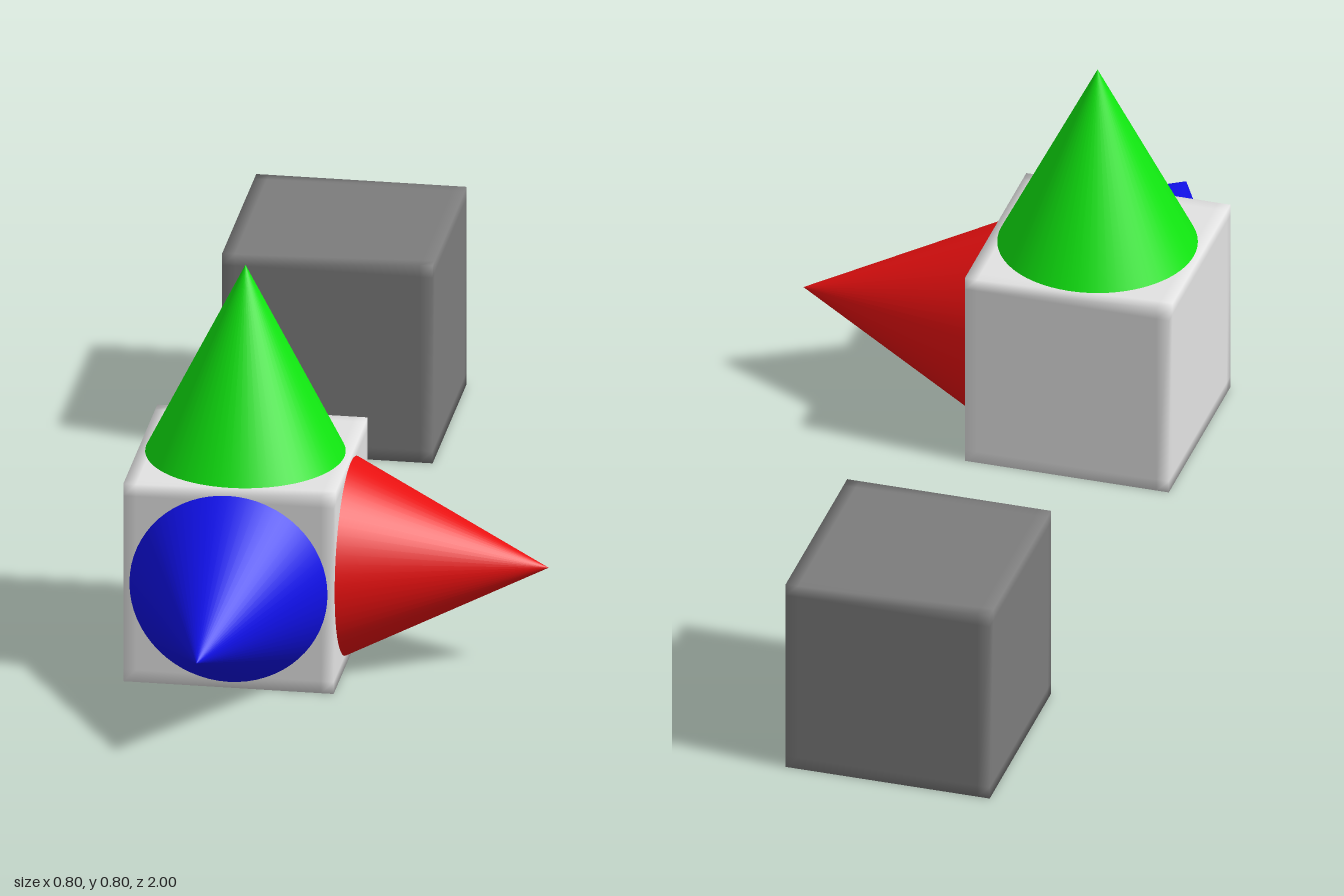
import * as THREE from 'three';
import { mergeVertices } from 'three/addons/utils/BufferGeometryUtils.js';

const SIZE = 0.412;      // cube edge
const HALF = SIZE / 2;
const EDGE = 0.025;      // width of the softly shaded border on each cube face

function material(name, color) {
  const m = new THREE.MeshStandardMaterial({ color });
  m.name = name;
  return m;
}

// Square-cornered cube with edge loops near its borders and shared, smooth normals
function softCubeGeometry() {
  const box = new THREE.BoxGeometry(SIZE, SIZE, SIZE, 3, 3, 3);
  box.deleteAttribute('normal');
  box.deleteAttribute('uv');
  const geo = mergeVertices(box);
  const p = geo.attributes.position;
  const slide = (v) => (Math.abs(v) < HALF * 0.9 ? Math.sign(v) * (HALF - EDGE) : v);
  for (let i = 0; i < p.count; i++) {
    p.setXYZ(i, slide(p.getX(i)), slide(p.getY(i)), slide(p.getZ(i)));
  }
  geo.computeVertexNormals();
  return geo;
}

export function createModel() {
  const model = new THREE.Group();
  model.name = 'cubesWithAxisCones';

  const cubeGeo = softCubeGeometry();
  const coneGeo = new THREE.ConeGeometry(0.2, 0.4, 64);
  coneGeo.translate(0, 0.394, 0); // base sits just inside the cube face

  function add(parent, name, geo, mat) {
    const mesh = new THREE.Mesh(geo, mat);
    mesh.name = name;
    parent.add(mesh);
    return mesh;
  }

  // Light cube with a cone on its top, left and front faces
  const marker = new THREE.Group();
  marker.name = 'axisMarker';
  marker.position.set(-0.194, HALF, 0.406);
  model.add(marker);
  add(marker, 'lightCube', cubeGeo, material('light grey', 0xe2e2e2));
  add(marker, 'upCone', coneGeo, material('green', 0x10e710));
  add(marker, 'sideCone', coneGeo, material('red', 0xe71010)).rotation.z = -Math.PI / 2;
  add(marker, 'frontCone', coneGeo, material('blue', 0x1010e7)).rotation.x = Math.PI / 2;

  // Plain dark cube behind
  add(model, 'darkCube', cubeGeo, material('dark grey', 0x7c7c7c)).position.set(-0.194, HALF, -0.794);

  return model;
}
